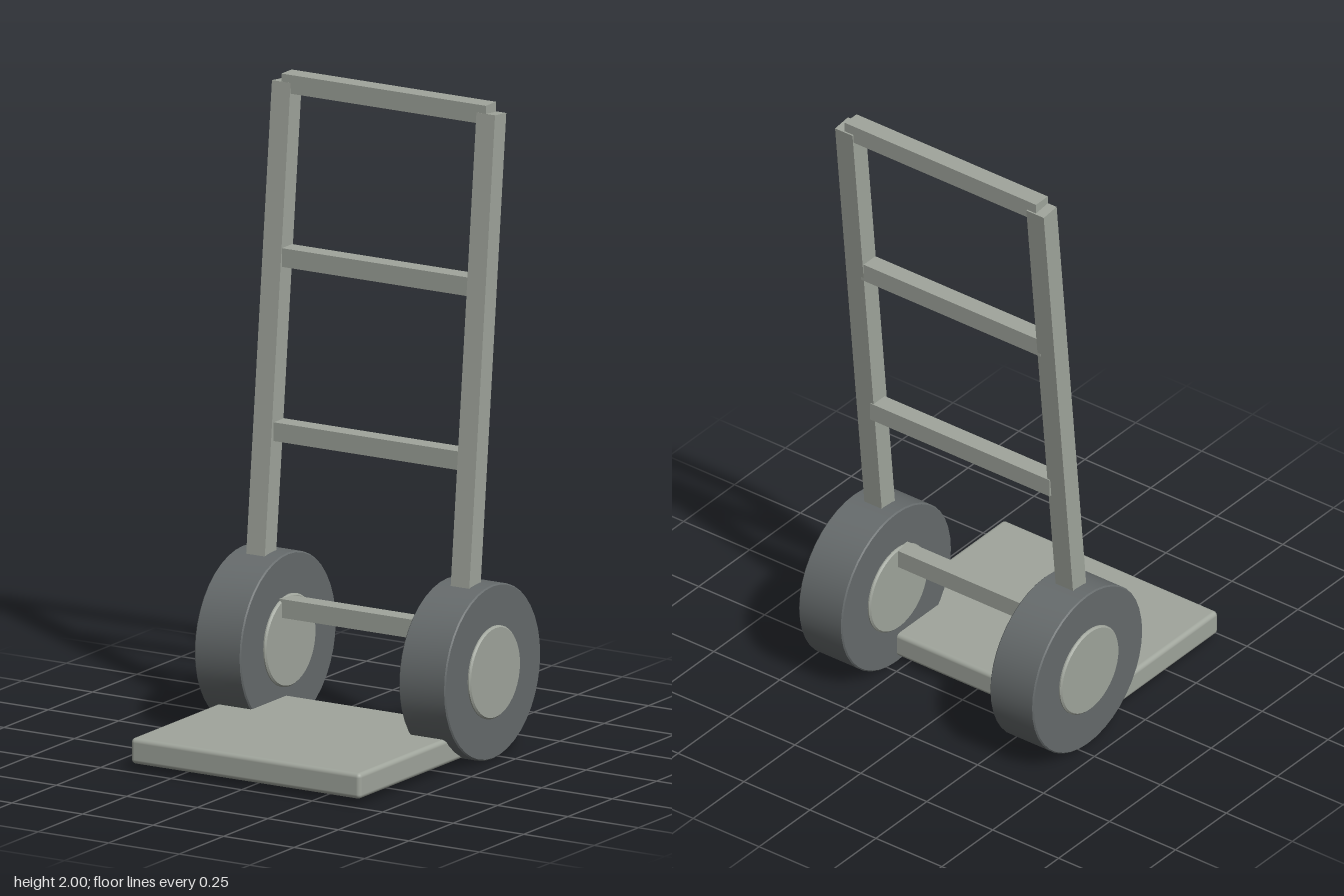
import * as THREE from 'three';
import { toCreasedNormals } from 'three/addons/utils/BufferGeometryUtils.js';
import { RoundedBoxGeometry } from 'three/addons/geometries/RoundedBoxGeometry.js';

const metal = new THREE.MeshStandardMaterial({ name: 'greyMetal', color: 0xa0a59c });
const rubber = new THREE.MeshStandardMaterial({ name: 'darkRubber', color: 0x666b6c });

function add(parent, name, geometry, material, x, y, z) {
  const mesh = new THREE.Mesh(geometry, material);
  mesh.name = name;
  mesh.position.set(x, y, z);
  parent.add(mesh);
  return mesh;
}

// Solid disc along x with a small bevelled rim
function disc(radius, width, bevel) {
  const h = width / 2;
  const profile = [
    [0, -h], [radius - bevel, -h], [radius, -h + bevel],
    [radius, h - bevel], [radius - bevel, h], [0, h],
  ].map(([r, y]) => new THREE.Vector2(r, y));
  const g = new THREE.LatheGeometry(profile, 40);
  g.rotateZ(Math.PI / 2);
  return toCreasedNormals(g, 0.6);
}

export function createModel() {
  const group = new THREE.Group();
  group.name = 'handTruck';

  // Load plate
  add(group, 'loadPlate', new RoundedBoxGeometry(0.815, 0.08, 0.69, 3, 0.014), metal, 0, 0.065, 0.136);

  // Leaning side rails, running down into the wheels
  const bottom = new THREE.Vector2(-0.163, 0.3); // z, y
  const top = new THREE.Vector2(-0.332, 1.972);
  const length = top.distanceTo(bottom);
  const lean = Math.atan2(top.x - bottom.x, top.y - bottom.y);

  for (const side of [-1, 1]) {
    const label = side > 0 ? 'left' : 'right';
    const rail = add(group, label + 'Rail', new THREE.BoxGeometry(0.066, length, 0.064), metal,
      side * 0.3625, (top.y + bottom.y) / 2, (top.x + bottom.x) / 2);
    rail.rotation.x = lean;

    // Wheel: tyre with a slightly proud hub on both faces
    const wheel = new THREE.Group();
    wheel.name = label + 'Wheel';
    wheel.position.set(side * 0.3625, 0.275, -0.21);
    add(wheel, 'tyre', disc(0.27, 0.165, 0.004), rubber, 0, 0, 0);
    add(wheel, 'hub', disc(0.143, 0.183, 0.005), metal, 0, 0, 0);
    group.add(wheel);
  }

  // Rungs, each [name, width, y, z]
  const rungs = [
    ['topHandle', 0.725, 1.971, -0.33],
    ['upperRung', 0.68, 1.445, -0.28],
    ['lowerRung', 0.68, 0.915, -0.234],
    ['axleRung', 0.68, 0.385, -0.187],
  ];
  for (const [name, width, y, z] of rungs) {
    add(group, name, new THREE.BoxGeometry(width, 0.058, 0.058), metal, 0, y, z);
  }
  return group;
}
